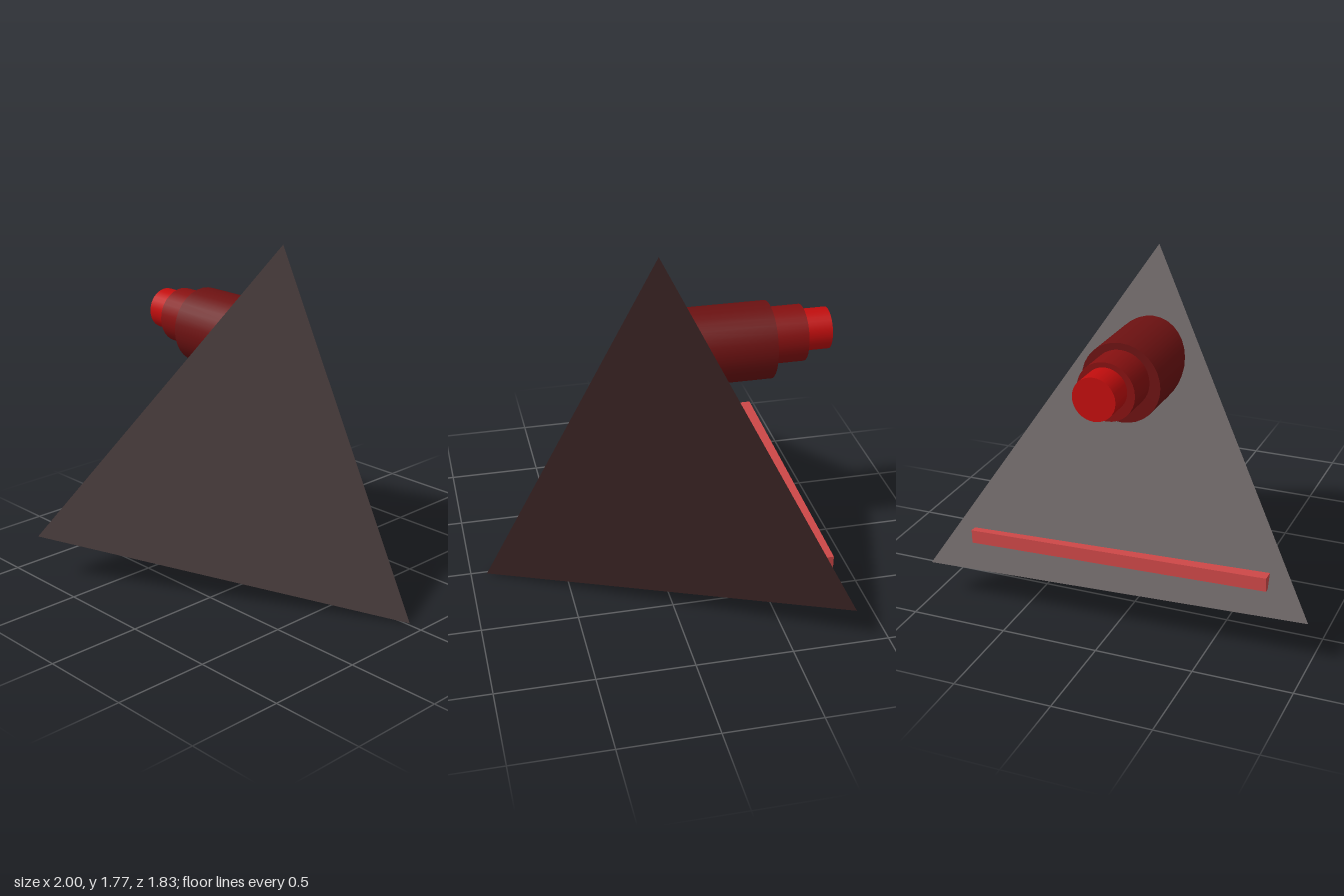
import * as THREE from 'three';

function part(name, geometry, color, flatShading = false) {
  const mesh = new THREE.Mesh(geometry, new THREE.MeshStandardMaterial({ color, flatShading }));
  mesh.name = name;
  return mesh;
}

// Four-sided solid from its three base corners and its apex
function tetrahedron(front, right, left, apex) {
  const faces = [front, right, left, right, front, apex, left, right, apex, front, left, apex];
  const geometry = new THREE.BufferGeometry();
  geometry.setAttribute('position', new THREE.Float32BufferAttribute(faces.flat(), 3));
  geometry.computeVertexNormals();
  return geometry;
}

export function createModel() {
  const group = new THREE.Group();
  group.name = 'model';

  // Tilted pyramid body
  group.add(part('body', tetrahedron(
    [0.015, 0, 0.915], [-1, 0.25, -0.79], [0.995, 0.195, -0.82], [0.05, 1.77, -0.02],
  ), 0x2a1010, true));

  // Stepped nozzle on the back: radius, centre height, start z, end z, colour
  const nozzle = new THREE.Group();
  nozzle.name = 'nozzle';
  [
    ['nozzleBase', 0.203, 1.246, -0.17, -0.602, 0x6b1111],
    ['nozzleMiddle', 0.148, 1.267, -0.5, -0.78, 0x851010],
    ['nozzleTip', 0.109, 1.281, -0.7, -0.917, 0xc00d0d],
  ].forEach(([name, radius, y, z0, z1, color]) => {
    const mesh = part(name, new THREE.CylinderGeometry(radius, radius, z0 - z1, 32), color);
    mesh.rotation.x = -Math.PI / 2;
    mesh.position.set(0.018, y, (z0 + z1) / 2);
    nozzle.add(mesh);
  });
  group.add(nozzle);

  // Thin bar low on the back, parallel to the base edge
  const bar = part('bar', new THREE.BoxGeometry(1.566, 0.07, 0.07), 0xcc4747);
  bar.position.set(0.003, 0.374, -0.723);
  bar.rotation.z = -0.027;
  group.add(bar);

  return group;
}
